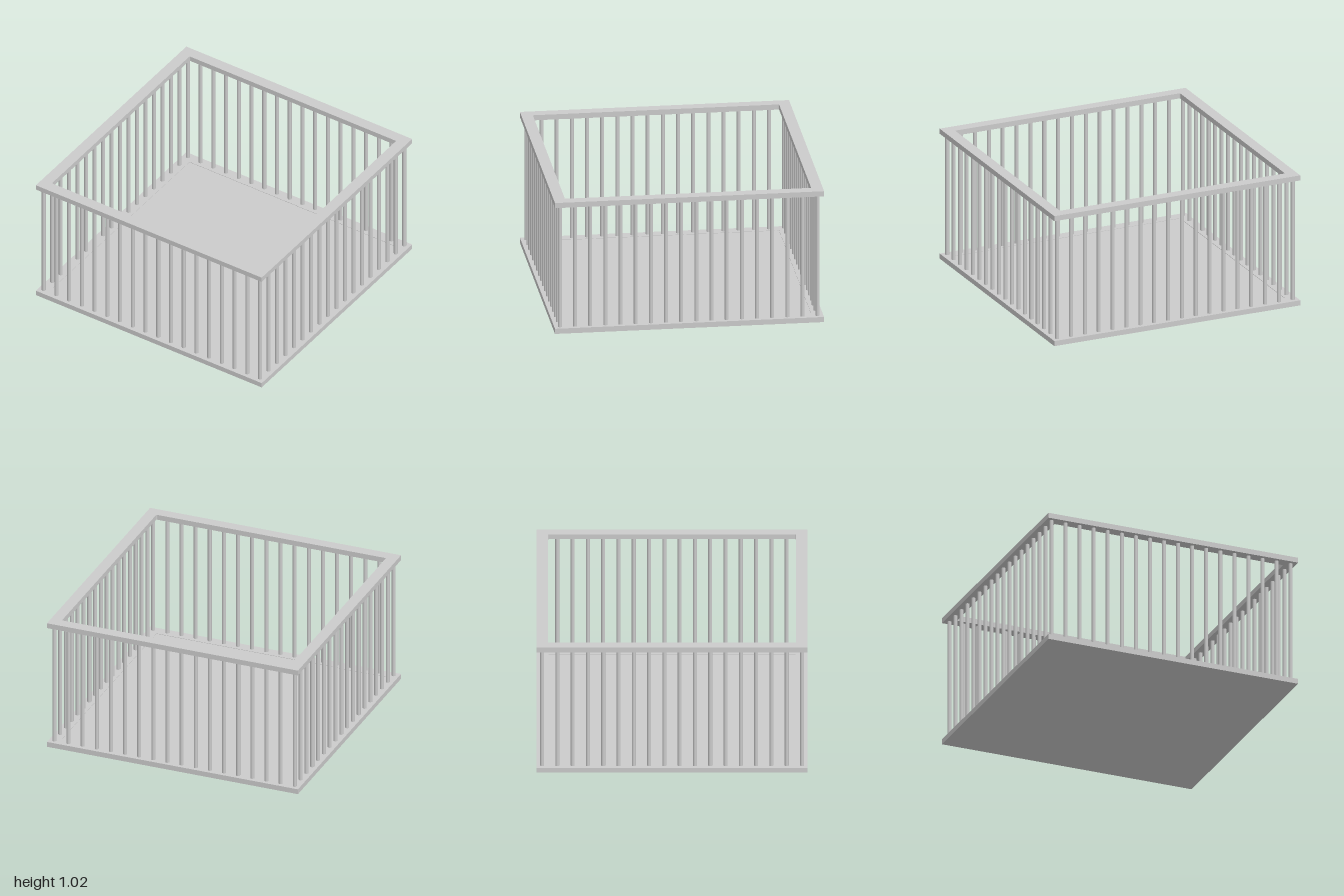
import * as THREE from 'three';

const OUTER = 1, INNER = 0.915, THICK = 0.04, HEIGHT = 1.025;
const BARS = 18, BAR_LINE = 0.958, BAR_RADIUS = 0.015;

// Square ring lying flat, with slightly eased inner corners
function frameGeometry() {
  const shape = new THREE.Shape();
  shape.moveTo(-OUTER, -OUTER).lineTo(OUTER, -OUTER).lineTo(OUTER, OUTER).lineTo(-OUTER, OUTER).closePath();
  const c = 0.01, i = INNER, hole = new THREE.Path();
  hole.moveTo(-i + c, -i);
  hole.quadraticCurveTo(-i, -i, -i, -i + c).lineTo(-i, i - c);
  hole.quadraticCurveTo(-i, i, -i + c, i).lineTo(i - c, i);
  hole.quadraticCurveTo(i, i, i, i - c).lineTo(i, -i + c);
  hole.quadraticCurveTo(i, -i, i - c, -i).closePath();
  shape.holes.push(hole);
  return new THREE.ExtrudeGeometry(shape, { depth: THICK, bevelEnabled: false, curveSegments: 4 })
    .rotateX(-Math.PI / 2);
}

export function createModel() {
  const model = new THREE.Group();
  model.name = 'railedPen';
  const material = new THREE.MeshStandardMaterial({ color: 0xcccccc });
  const add = (name, geometry, x, y, z, parent = model) => {
    const mesh = new THREE.Mesh(geometry, material);
    mesh.name = name;
    mesh.position.set(x, y, z);
    parent.add(mesh);
  };

  // Matching frames at the bottom and top
  const frame = frameGeometry();
  add('bottomFrame', frame, 0, 0, 0);
  add('topFrame', frame, 0, HEIGHT - THICK, 0);

  // Floor panel filling the bottom frame
  const floorTop = THICK - 0.003;
  add('floor', new THREE.BoxGeometry(INNER * 2, floorTop, INNER * 2), 0, floorTop / 2, 0);

  // Round bars on all four sides; each side owns one of its corner bars
  const bar = new THREE.CylinderGeometry(BAR_RADIUS, BAR_RADIUS, HEIGHT - 2 * THICK, 12, 1, true);
  ['front', 'left', 'back', 'right'].forEach((side, s) => {
    const row = new THREE.Group();
    row.name = side + 'Bars';
    row.rotation.y = s * Math.PI / 2;
    for (let i = 0; i < BARS - 1; i++) {
      const x = -BAR_LINE + (2 * BAR_LINE * i) / (BARS - 1);
      add('bar', bar, x, HEIGHT / 2, BAR_LINE, row);
    }
    model.add(row);
  });

  return model;
}
